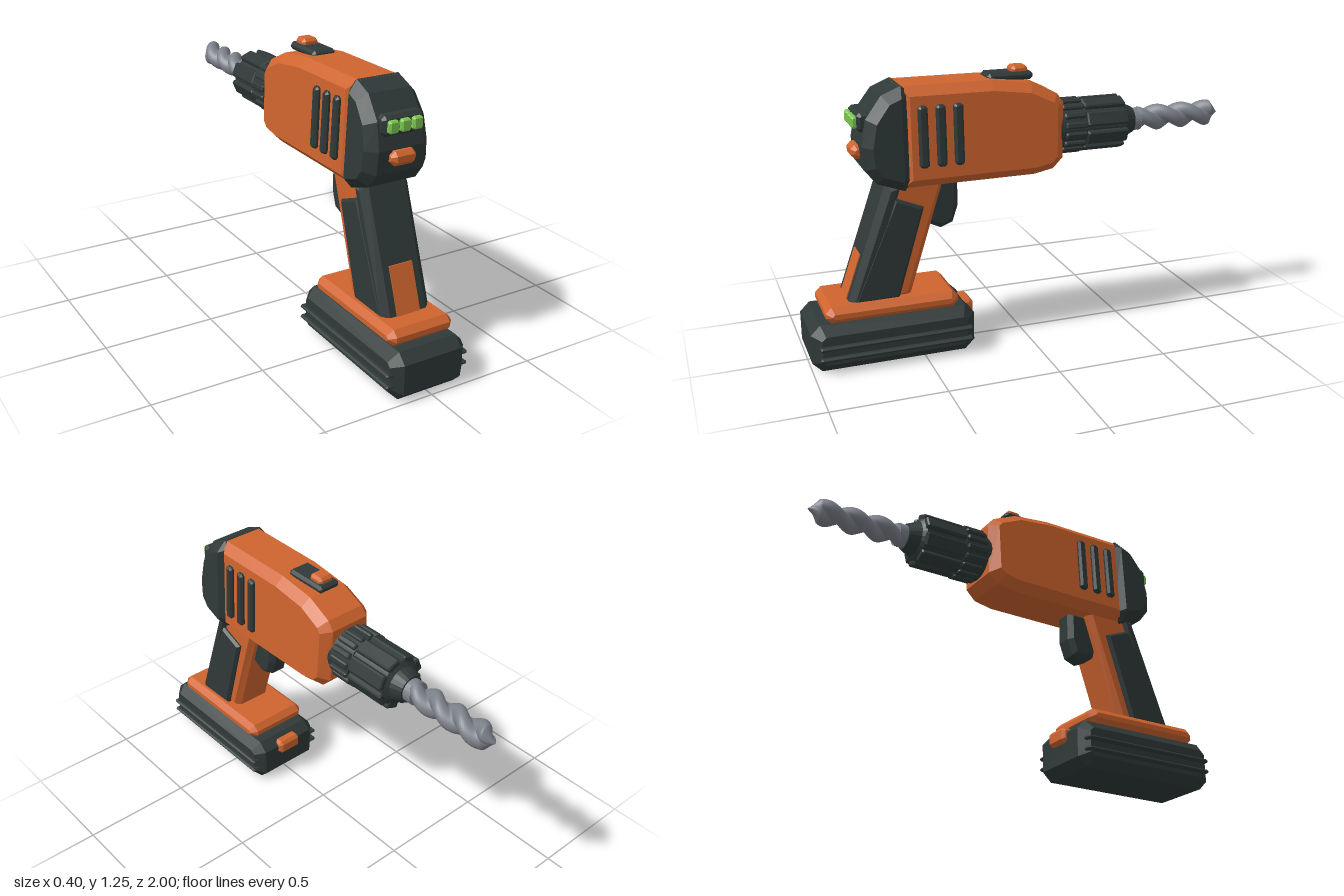
import * as THREE from 'three';

const paint = (name, color) => Object.assign(new THREE.MeshStandardMaterial({ color }), { name });

export function createModel() {
  const orange = paint('orange shell', 0xcf642e);
  const dark = paint('dark rubber', 0x2f3938);
  const steel = paint('steel', 0x7d818a);
  const green = paint('green light', 0x7cc850);
  const model = new THREE.Group();

  const add = (name, geo, mat, x = 0, y = 0, z = 0) => {
    const mesh = new THREE.Mesh(geo, mat);
    mesh.name = name;
    mesh.position.set(x, y, z);
    model.add(mesh);
    return mesh;
  };

  // Side outline given as [z, y] points, extruded across x with chamfered rims
  const slab = (pts, width, c) => {
    const shape = new THREE.Shape(pts.map(([z, y]) => new THREE.Vector2(z, y)));
    const g = new THREE.ExtrudeGeometry(shape, {
      depth: width - 2 * c, bevelEnabled: c > 0, bevelSize: c, bevelThickness: c,
      bevelOffset: -c, bevelSegments: 1,
    });
    return g.translate(0, 0, c - width / 2).rotateY(-Math.PI / 2);
  };

  // Box with every edge chamfered
  const block = (w, h, d, c) => {
    const a = d / 2, b = h / 2;
    return slab([[-a + c, -b], [a - c, -b], [a, -b + c], [a, b - c],
      [a - c, b], [-a + c, b], [-a, b - c], [-a, -b + c]], w, c);
  };

  // Housing is slightly wider at the bottom than at the top
  const taper = (g) => {
    const p = g.attributes.position;
    for (let i = 0; i < p.count; i++) p.setX(i, p.getX(i) * (1 - (p.getY(i) - 1) * 0.36));
    g.computeVertexNormals();
    return g;
  };

  // Battery, its side ridges, latch and base plate
  add('battery', block(0.36, 0.215, 0.73, 0.042), dark, 0, 0.1075, 0.635);
  for (const s of [-1, 1]) {
    for (const y of [0.072, 0.122]) {
      add('batteryRidge', block(0.05, 0.018, 0.68, 0.007), dark, s * 0.174, y, 0.63);
    }
  }
  add('batteryLatch', block(0.12, 0.07, 0.06, 0.014), orange, 0, 0.165, 0.277);
  add('basePlate', block(0.31, 0.075, 0.59, 0.026), orange, 0, 0.248, 0.635);

  // Slanted handle with rubber back and side grips
  add('handle', slab([[0.8, 0.27], [0.545, 0.27], [0.375, 0.81], [0.62, 0.81]], 0.2, 0.025), orange);
  add('handleBack', slab([[0.827, 0.27], [0.72, 0.27], [0.56, 0.8], [0.641, 0.8]], 0.234, 0.03), dark);
  add('sideGrip', slab([[0.8, 0.28], [0.6, 0.28], [0.478, 0.683], [0.605, 0.735]], 0.238, 0.012), dark);
  add('handleStripe', slab([[0.828, 0.28], [0.82, 0.28], [0.75, 0.48], [0.758, 0.48]], 0.112, 0), orange);
  add('trigger', slab([[0.46, 0.79], [0.305, 0.79], [0.305, 0.65], [0.33, 0.575],
    [0.385, 0.555], [0.44, 0.58], [0.48, 0.62]], 0.11, 0.022), dark);

  // Motor housing and rear cap
  add('housing', taper(slab([[0.57, 0.775], [-0.03, 0.778], [-0.12, 0.795], [-0.165, 0.84],
    [-0.17, 1.09], [-0.14, 1.13], [-0.02, 1.187], [0.16, 1.21], [0.57, 1.212]], 0.274, 0.04)), orange);
  add('rearCap', taper(slab([[0.525, 0.81], [0.56, 0.765], [0.68, 0.808], [0.73, 0.87],
    [0.738, 0.97], [0.716, 1.085], [0.646, 1.18], [0.56, 1.216], [0.525, 1.185]], 0.296, 0.042)), dark);

  // Side vents
  for (const s of [-1, 1]) {
    for (const z of [0.48, 0.402, 0.325]) {
      add('vent', taper(block(0.04, 0.265, 0.042, 0.01).translate(s * 0.136, 1, z)), dark);
    }
  }

  // Direction slider on top
  add('sliderPlate', block(0.11, 0.035, 0.21, 0.012), dark, 0, 1.21, 0.06);
  add('sliderButton', block(0.075, 0.045, 0.075, 0.012), orange, 0, 1.23, 0.012);

  // Rear light panel and button
  add('lightPanel', block(0.19, 0.085, 0.06, 0.014), dark, 0, 1.07, 0.718);
  for (const x of [-0.056, 0, 0.056]) {
    add('chargeLight', block(0.046, 0.052, 0.04, 0.007), green, x, 1.07, 0.748);
  }
  add('rearButton', block(0.116, 0.062, 0.06, 0.018), orange, 0, 0.936, 0.74);

  // Chuck: stacked turned sections with grip ribs around them
  const axisY = 0.96;
  const turned = (name, z0, z1, r0, r1, mat) => {
    const g = new THREE.CylinderGeometry(r1, r0, z0 - z1, 24).rotateX(-Math.PI / 2).toNonIndexed();
    g.computeVertexNormals();
    add(name, g, mat, 0, axisY, (z0 + z1) / 2);
  };
  turned('chuckCollar', -0.15, -0.285, 0.112, 0.112, dark);
  turned('chuckSleeve', -0.285, -0.48, 0.104, 0.104, dark);
  turned('chuckShoulder', -0.48, -0.495, 0.104, 0.085, dark);
  turned('chuckNose', -0.49, -0.545, 0.085, 0.06, dark);
  const ribs = (name, n, r, w, z0, z1) => {
    for (let i = 0; i < n; i++) {
      const a = ((i + 0.5) / n) * Math.PI * 2;
      const rib = add(name, block(w, 0.03, z0 - z1, 0.006), dark,
        Math.sin(a) * (r - 0.015), axisY + Math.cos(a) * (r - 0.015), (z0 + z1) / 2);
      rib.rotation.z = -a;
    }
  };
  ribs('collarRib', 16, 0.126, 0.028, -0.178, -0.282);
  ribs('sleeveRib', 8, 0.12, 0.064, -0.285, -0.485);

  // Drill bit: round shank, then a two-lobed section twisted along its length to a point
  turned('bitShank', -0.53, -0.585, 0.052, 0.052, steel);
  const bit = new THREE.CylinderGeometry(1, 1, 0.43, 32, 86, true).rotateX(Math.PI / 2);
  bit.translate(0, 0, -0.785);
  const p = bit.attributes.position;
  for (let i = 0; i < p.count; i++) {
    const z = p.getZ(i), a = Math.atan2(p.getY(i), p.getX(i));
    const tip = Math.min(1, Math.max(0, (z + 1) / 0.05));
    const r = (0.03 + 0.03 * Math.pow(Math.abs(Math.cos(a)), 1.3)) * tip;
    const t = a + z * 25;
    p.setXY(i, Math.cos(t) * r, Math.sin(t) * r);
  }
  bit.computeVertexNormals();
  add('twistBit', bit, steel, 0, axisY, 0);

  return model;
}
